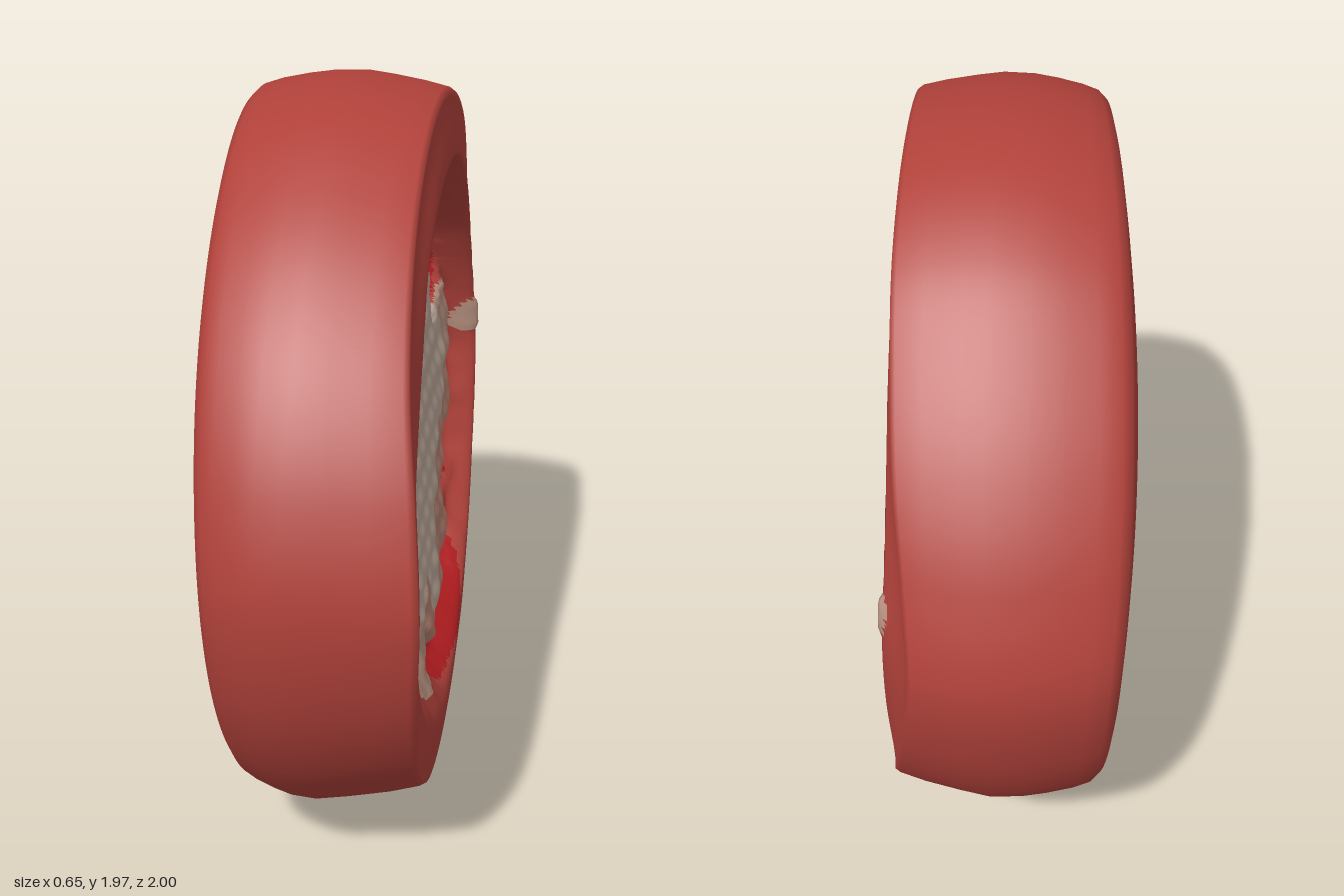
import * as THREE from 'three';

const SEG = 384;
const paint = (name, color) => {
  const m = new THREE.MeshStandardMaterial({ color });
  m.name = name;
  return m;
};
const smooth = THREE.MathUtils.smoothstep;

// Closed smooth curve through flat [z, y, z, y...] pairs in hundredths, y measured from the slice centre
function blob(list) {
  const pts = [];
  for (let i = 0; i < list.length; i += 2) pts.push(new THREE.Vector3(list[i] / 100, list[i + 1] / 100, 0));
  return new THREE.CatmullRomCurve3(pts, true, 'catmullrom', 0.45).getPoints(pts.length * 4).slice(0, -1);
}

function inside(poly, z, y) {
  let hit = false;
  for (let i = 0, j = poly.length - 1; i < poly.length; j = i++) {
    const a = poly[i], b = poly[j];
    if (a.y > y !== b.y > y && z < ((b.x - a.x) * (y - a.y)) / (b.y - a.y) + a.x) hit = !hit;
  }
  return hit;
}

// Pale flesh around the core
const flesh = blob([65, 27, 61, 37, 54, 42, 43, 44, 33, 37, 19, 32, 3, 38, -4, 33, -7, 57, -21, 62, -33, 58, -35, 41,
  -38, 22, -56, 23, -69, 22, -72, 12, -67, 0, -64, -15, -48, -21, -40, -31, -44, -44, -34, -53, -16, -63,
  -2, -68, 10, -57, 14, -68, 27, -66, 37, -58, 35, -42, 46, -42, 57, -34, 59, -21, 51, -15, 62, -3, 57, 5, 41, 9, 62, 14]);

// Cream core
const core = blob([44, 20, 35, 27, 22, 27, 6, 22, -1, 30, -7, 21, -9, 38, -21, 43, -32, 40, -37, 28, -45, 23,
  -53, 14, -54, -2, -48, -10, -34, -14, -26, -26, -19, -36, -16, -58, -9, -64, -2, -55, 1, -40, 7, -50,
  19, -47, 26, -36, 30, -18, 38, -7, 33, 5, 43, 9]);

// Seed pockets filled with red jelly
const pockets = [
  [41, 47, 40, 61, 27, 67, 3, 68, -5, 64, -1, 49, 14, 44, 20, 36, 31, 36],
  [-43, 53, -53, 50, -61, 40, -67, 29, -61, 24, -48, 23, -37, 22, -42, 33, -41, 44],
  [73, 9, 63, 9, 59, 1, 64, -10, 57, -21, 51, -34, 40, -44, 46, -47, 59, -39, 68, -26, 74, -7],
  [-71, -13, -70, -23, -61, -39, -50, -44, -44, -42, -42, -34, -53, -23, -61, -19],
  [9, -60, 9, -72, -2, -75, -21, -74, -37, -66, -48, -55, -45, -50, -32, -55, -18, -63, -5, -69],
].map(blob);

// Seeds: centre z, y and half sizes
const seeds = [
  [0.2, 0.59, 0.027, 0.05], [0.04, 0.615, 0.035, 0.05], [0.25, 0.44, 0.027, 0.034], [0.16, 0.45, 0.03, 0.045],
  [-0.49, 0.345, 0.045, 0.035], [-0.535, -0.28, 0.045, 0.043], [-0.795, 0.07, 0.033, 0.06], [0.46, -0.075, 0.065, 0.022],
];
const seedAt = (z, y) => Math.max(0, ...seeds.map(([a, b, w, h]) => 1 - ((z - a) / w) ** 2 - ((y - b) / h) ** 2));
const inPocket = (z, y) => pockets.some((p) => inside(p, z, y));

// Share of nearby points that satisfy a test, giving soft slopes at region edges
function blur(test, z, y) {
  let n = test(z, y) ? 1 : 0;
  for (let k = 0; k < 8; k++) {
    const d = k % 2 ? 0.014 : 0.028, a = (k * Math.PI) / 4;
    if (test(z + d * Math.cos(a), y + d * Math.sin(a))) n++;
  }
  return n / 9;
}

// Gently domed back
const back = (z, y) => -0.33 + 0.1 * (z + 0.3) ** 2 + 0.11 * (y - 0.15) ** 2;

// Height of the cut face: raised rim falling into the dished middle
function cutFace(s, a, z, y, edge) {
  const c = Math.cos(a), n = Math.sin(a);
  const rim = 0.278 + 0.012 * c - 0.023 * n;
  const outer = THREE.MathUtils.lerp(rim, edge, smooth(s, 0.8, 0.94));
  const bump = (at, w) => Math.exp(-(((a - at) / w) ** 2));
  // The wall is steep on the upper and -z sides, gentle elsewhere
  const wallAt = 0.772 + 0.012 * Math.cos(2 * a) + 0.045 * bump(2.5, 0.4) + 0.035 * bump(0.95, 0.35)
    + 0.025 * bump(3.7, 0.3) + 0.004 * Math.sin(7 * a);
  const wall = smooth(s, wallAt - 0.07 - 0.04 * c + 0.03 * n, wallAt + 0.025);
  let floor = 0.175 - 0.08 * y;
  if (s < 0.88) {
    floor += 0.018 * blur((u, v) => inside(flesh, u, v), z, y) - 0.045 * blur(inPocket, z, y);
    floor += 0.0025 * Math.sin(62 * y + Math.sin(5 * z)) + 0.0025 * Math.sin(68 * z + 2 * y);
    floor += 0.006 * Math.sin(19 * a) * smooth(s, 0.35, 0.6);
  }
  return THREE.MathUtils.lerp(floor, outer, wall) + 0.01 * Math.min(1, 2 * seedAt(z, y));
}

export function createModel() {
  const group = new THREE.Group();
  group.name = 'tomatoSlice';

  // Slightly lumpy outline every 15 degrees from +z towards +y: radius and height of the cut edge
  const radii = [1, 0.975, 0.955, 0.943, 0.945, 0.965, 0.97, 0.965, 0.945, 0.92, 0.925, 0.955, 1, 0.995, 0.985, 0.98,
    0.98, 0.987, 1, 0.993, 0.988, 0.986, 0.992, 1];
  const edges = [0.32, 0.3, 0.27, 0.25, 0.238, 0.235, 0.235, 0.238, 0.24, 0.235, 0.225, 0.205, 0.195, 0.225, 0.255, 0.275,
    0.285, 0.287, 0.288, 0.291, 0.295, 0.3, 0.306, 0.315];
  const outline = new THREE.CatmullRomCurve3(radii.map((r, i) => {
    const a = (i * Math.PI) / 12;
    return new THREE.Vector3(r * Math.cos(a), r * Math.sin(a), edges[i]);
  }), true, 'catmullrom', 0.5);

  // Rings from the middle of the cut face, over the skin, to the middle of the back:
  // share of the outline, height rule, extra taper along the bottom
  const rings = [];
  for (let i = 0; i <= 104; i++) rings.push([(0.88 * i) / 104, cutFace, 0]);
  rings.push([0.9, cutFace, 0.01], [0.92, cutFace, 0.02], [0.94, cutFace, 0.027], [0.955, cutFace, 0.033]);
  const front = (k) => (s, a, z, y, edge) => edge * k;
  const side = (k) => (s, a, z, y) => back(z, y) * k;
  rings.push(
    [0.964, front(0.95), 0.033], [0.978, front(0.7), 0.022], [0.992, front(0.35), 0.01], [1, () => 0.02, 0],
    [0.997, side(0.25), 0], [0.987, side(0.5), 0], [0.972, side(0.76), 0], [0.957, side(0.92), 0], [0.935, side(0.99), 0],
  );
  for (const s of [0.9, 0.82, 0.7, 0.55, 0.4, 0.2, 0]) rings.push([s, side(1), 0]);

  const pos = [];
  for (const [share, height, taper] of rings) {
    for (let j = 0; j < SEG; j++) {
      const p = outline.getPoint(j / SEG), a = (j / SEG) * Math.PI * 2;
      const s = share - taper * Math.max(0, -Math.sin(a));
      const z = s * p.x, y = s * p.y;
      pos.push(height(s, a, z, y, p.z), y + 1, z);
    }
  }

  // Sort every face into the part it belongs to
  const parts = { skinAndRim: [], pinkFlesh: [], tanFlesh: [], creamCore: [], seedJelly: [], seeds: [] };
  const partAt = (z, y) => {
    if (seedAt(z, y) > 0) return 'seeds';
    if (inPocket(z, y)) return 'seedJelly';
    if (inside(core, z, y)) return 'creamCore';
    if (!inside(flesh, z, y)) return 'skinAndRim';
    return (z < -0.04 && y > -0.02) || (z > 0.08 && y < -0.45) ? 'tanFlesh' : 'pinkFlesh';
  };
  const all = [];
  const addFace = (row, ...f) => {
    const mid = (k) => (pos[f[0] * 3 + k] + pos[f[1] * 3 + k] + pos[f[2] * 3 + k]) / 3;
    parts[row < 105 ? partAt(mid(2), mid(1) - 1) : 'skinAndRim'].push(...f);
    all.push(...f);
  };
  for (let i = 0; i < rings.length - 1; i++) {
    for (let j = 0; j < SEG; j++) {
      const k = (j + 1) % SEG;
      const a = i * SEG + j, d = i * SEG + k, b = a + SEG, c = d + SEG;
      if (i < rings.length - 2) addFace(i, a, c, b);
      if (i > 0) addFace(i, a, d, c);
    }
  }

  // Shared smooth normals, one mesh per part
  const whole = new THREE.BufferGeometry();
  whole.setAttribute('position', new THREE.Float32BufferAttribute(pos, 3));
  whole.setIndex(all);
  whole.computeVertexNormals();
  // The two pole rings face straight along the axis
  const normal = whole.attributes.normal;
  for (let j = 0; j < SEG; j++) {
    normal.setXYZ(j, 1, 0, 0);
    normal.setXYZ((rings.length - 1) * SEG + j, -1, 0, 0);
  }

  const tan = paint('tan', 0xbb9482);
  const materials = {
    skinAndRim: paint('tomato red', 0xb0413a),
    pinkFlesh: paint('pale pink', 0xb88473),
    tanFlesh: tan,
    creamCore: paint('cream', 0xc0ab9c),
    seedJelly: paint('jelly red', 0xae1c1f),
    seeds: tan,
  };
  for (const [name, index] of Object.entries(parts)) {
    const geo = new THREE.BufferGeometry();
    geo.setAttribute('position', whole.attributes.position);
    geo.setAttribute('normal', normal);
    geo.setIndex(index);
    const mesh = new THREE.Mesh(geo, materials[name]);
    mesh.name = name;
    group.add(mesh);
  }
  return group;
}
